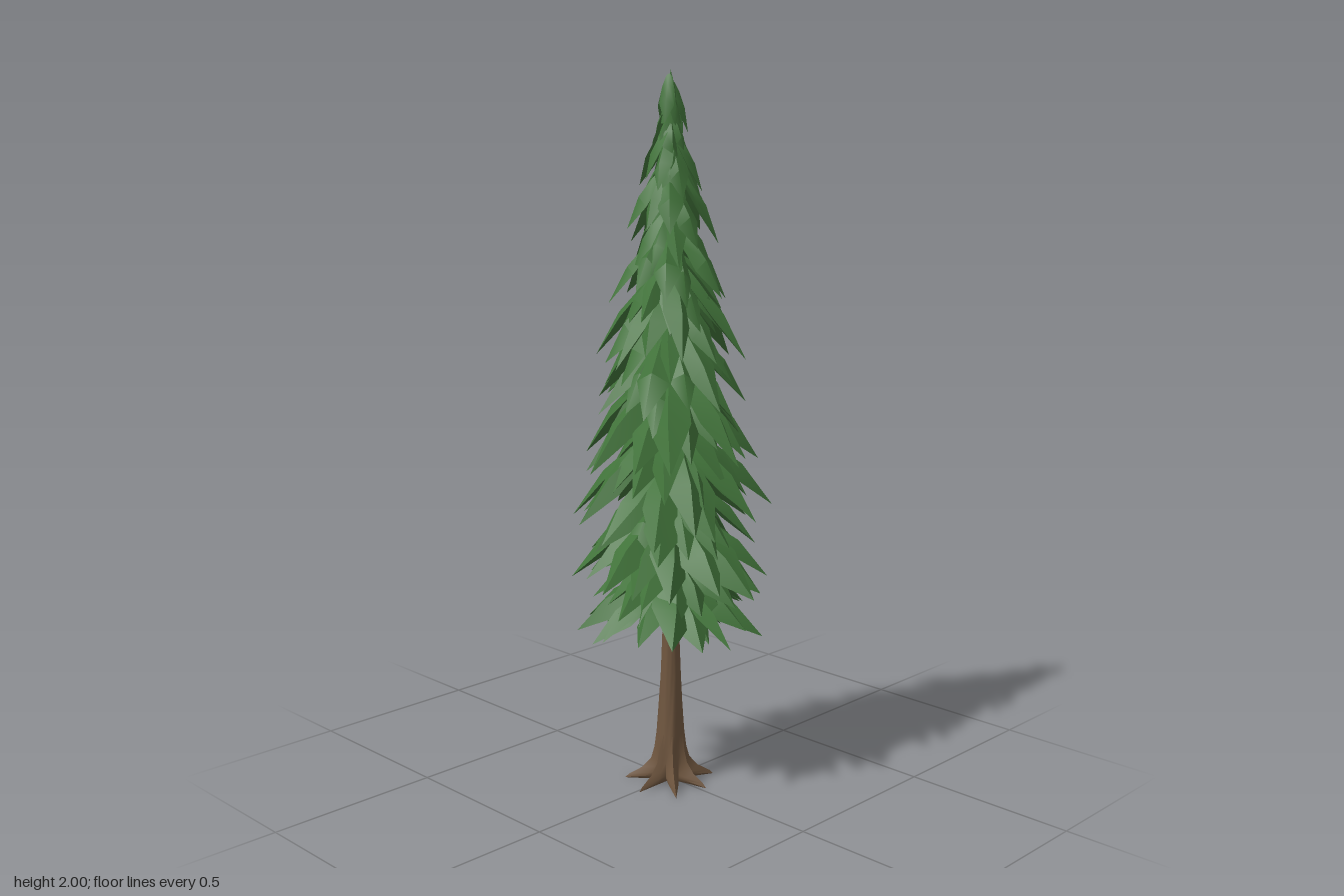
import * as THREE from 'three';
import { mergeGeometries, toCreasedNormals } from 'three/addons/utils/BufferGeometryUtils.js';

const needleGreen = new THREE.MeshStandardMaterial({ color: 0x41733a });
needleGreen.name = 'needleGreen';
const barkBrown = new THREE.MeshStandardMaterial({ color: 0x6f563f });
barkBrown.name = 'barkBrown';

// Small seeded generator for natural variation
let seed = 11;
const rnd = () => (seed = (seed * 16807) % 2147483647) / 2147483647;
const vary = (a, b) => a + (b - a) * rnd();

// Piecewise-linear lookup in a list of [key, value]
function lookup(table, k) {
  for (let i = 1; i < table.length; i++) {
    const [k0, v0] = table[i - 1], [k1, v1] = table[i];
    if (k <= k1) return THREE.MathUtils.mapLinear(Math.max(k, k0), k0, k1, v0, v1);
  }
  return table[table.length - 1][1];
}

// Tiers from the bottom up: height of the tips, reach, drop from trunk to tip, number of boughs
const tiers = [
  [0.465, 0.27, 0.17, 16], [0.61, 0.295, 0.21, 16], [0.775, 0.29, 0.25, 15], [0.95, 0.265, 0.26, 14],
  [1.1, 0.225, 0.24, 13], [1.23, 0.215, 0.24, 12], [1.4, 0.17, 0.21, 11], [1.56, 0.13, 0.19, 10],
  [1.69, 0.095, 0.16, 8], [1.835, 0.052, 0.125, 6],
];

// One bough: a pointed, thick, ridged blade sweeping out and down
function bough(reach, drop, width, roll) {
  const sections = [[0, 0.4], [0.3, 0.8], [0.64, 1], [1, 0.01]];
  const pos = [], index = [];
  for (const [s, k] of sections) {
    const w = width * k / 2;
    const x = 0.008 + (reach - 0.008) * s;
    const y = -drop * (0.7 * s + 0.3 * s * s);
    for (const [z, h] of [[-1, -0.2], [0, 0.4], [1, -0.2], [0, -0.35]]) {
      const cz = z * w, cy = h * w;
      pos.push(x + cy * 0.6, y + cy * Math.cos(roll) + cz * Math.sin(roll),
        cz * Math.cos(roll) - cy * Math.sin(roll));
    }
  }
  for (let i = 0; i < sections.length - 1; i++) {
    for (let j = 0; j < 4; j++) {
      const a = i * 4 + j, b = i * 4 + (j + 1) % 4;
      index.push(a, b, a + 4, b, b + 4, a + 4);
    }
  }
  const g = new THREE.BufferGeometry();
  g.setAttribute('position', new THREE.Float32BufferAttribute(pos, 3));
  g.setIndex(index);
  return g;
}

// A ring of alternating long and short boughs whose tips hang near one height
function tier(tipY, reach, drop, count, phase) {
  const parts = [];
  for (let i = 0; i < count; i++) {
    const angle = phase + (i + vary(-0.25, 0.25)) / count * Math.PI * 2;
    const scale = i % 2 ? vary(0.78, 0.92) : vary(0.92, 1.03);
    const r = reach * scale - 0.006 * (Math.cos(angle) - Math.sin(angle));
    const d = drop * scale * vary(0.9, 1.1);
    const width = (0.03 + reach * 0.25) * vary(0.85, 1.2);
    const g = bough(r, d, width, vary(-0.6, 0.6));
    g.rotateY(angle);
    g.translate(0, tipY + d + vary(-0.03, 0.03), 0);
    parts.push(g);
  }
  return toCreasedNormals(mergeGeometries(parts), 1.1);
}

// Trunk: tapered column that splays into seven pointed roots, arched up between them
function trunk() {
  const roots = 7, rows = 11;
  const heights = [0, 0.012, 0.035, 0.065, 0.1, 0.15, 0.22, 0.32, 0.45, 0.8, 1.3, 1.8];
  const core = [[0, 0.042], [0.065, 0.04], [0.15, 0.036], [0.22, 0.033], [0.32, 0.029], [0.45, 0.024], [0.8, 0.014], [1.8, 0.004]];
  const splay = [[0, 0.092], [0.012, 0.08], [0.035, 0.042], [0.065, 0.017], [0.1, 0.009], [0.15, 0.005], [0.32, 0]];
  const ridge = [1, 0.28, 0, 0.28];
  const g = new THREE.CylinderGeometry(1, 1, 1, roots * 4, rows);
  const p = g.attributes.position, v = new THREE.Vector3();
  for (let i = 0; i < p.count; i++) {
    v.fromBufferAttribute(p, i);
    const y = heights[Math.round((v.y + 0.5) * rows)];
    const ang = Math.atan2(v.x, v.z);
    const step = Math.round(ang / (Math.PI * 2) * roots * 4) + roots * 4;
    const uneven = 0.92 + 0.08 * Math.sin(Math.floor(((step + 2) % (roots * 4)) / 4) * 2.3);
    const k = ridge[step % 4];
    const r = Math.hypot(v.x, v.z) * (lookup(core, y) + lookup(splay, y) * k * uneven);
    p.setXYZ(i, Math.sin(ang) * r, y + 0.02 * (1 - k) * Math.max(0, 1 - y / 0.06), Math.cos(ang) * r);
  }
  return toCreasedNormals(g, 1.0);
}

export function createModel() {
  seed = 11;
  const tree = new THREE.Group();
  tree.name = 'coniferTree';
  const add = (name, geometry, material) => {
    const mesh = new THREE.Mesh(geometry, material);
    mesh.name = name;
    mesh.position.set(0.01, 0, 0.01);
    tree.add(mesh);
  };

  add('trunk', trunk(), barkBrown);

  // Overlapping tiers, fewer and smaller boughs towards the top
  tiers.forEach(([tipY, reach, drop, count], i) => {
    add('branchTier' + (i + 1), tier(tipY, reach, drop, count, i * 2.4), needleGreen);
    // Shorter boughs filling the gap up to the next tier
    if (i < tiers.length - 1) {
      const [nextY, nextReach, nextDrop] = tiers[i + 1];
      add('fillerTier' + (i + 1), tier((tipY + nextY) / 2, (reach + nextReach) * 0.4,
        (drop + nextDrop) * 0.45, count - 2, i * 2.4 + 1.1), needleGreen);
    }
  });

  // Short boughs hanging under the crown
  add('lowerBranches', tier(0.475, 0.18, 0.19, 11, 0.4), needleGreen);

  // Pointed leader at the top
  const leader = new THREE.ConeGeometry(0.03, 0.14, 7);
  leader.translate(0, 1.93, 0);
  add('treeTop', leader, needleGreen);

  return tree;
}
